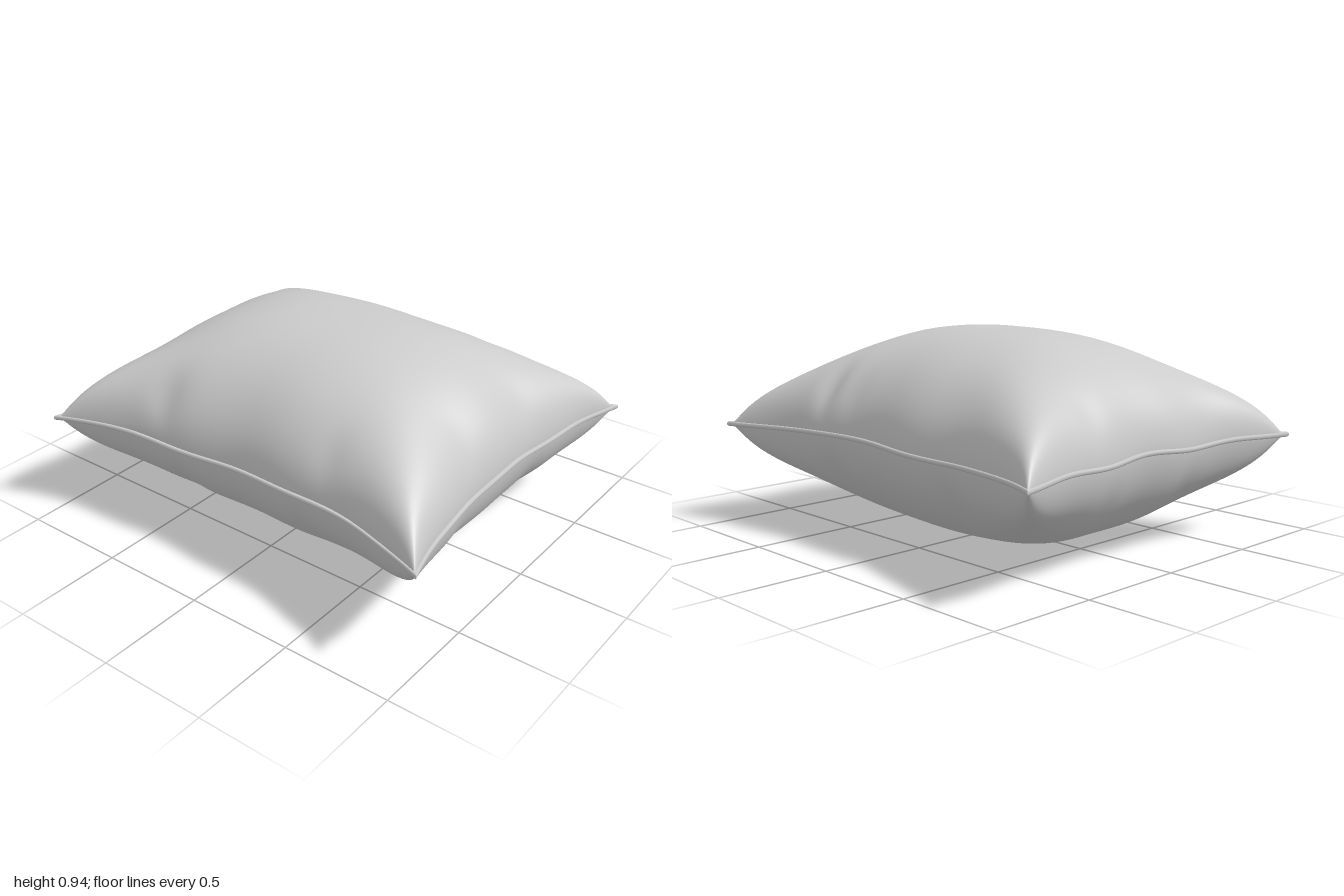
import * as THREE from 'three';

const MID = 0.47; // seam height, also the bulge of each panel
const RIM = 0.02; // small puffed edge beside the seam
const material = new THREE.MeshStandardMaterial({ color: 0xcccccc, side: THREE.DoubleSide });

// Soft creases running in from the seam: x, z, depth, spread in x, spread in z
const topCreases = [
  [-0.67, -0.48, 0.06, 0.1, 0.08], [0.67, 0.47, 0.06, 0.12, 0.06], [0.67, 0.3, 0.03, 0.1, 0.07],
  [-0.67, 0.42, 0.03, 0.1, 0.07], [-0.2, 0.88, 0.02, 0.06, 0.1], [0.25, 0.88, 0.02, 0.07, 0.1],
  [0.3, -0.88, 0.02, 0.07, 0.1],
];
const bottomCreases = [
  [0.67, 0.42, 0.05, 0.12, 0.07], [0.67, -0.36, 0.04, 0.12, 0.07], [-0.67, -0.4, 0.04, 0.12, 0.07],
  [-0.67, 0.3, 0.03, 0.1, 0.07], [0.3, 0.88, 0.04, 0.08, 0.1], [-0.28, 0.88, 0.02, 0.07, 0.1],
  [-0.3, -0.88, 0.03, 0.07, 0.1], [0.2, -0.88, 0.03, 0.07, 0.1],
];

// Maps the square u, v in [-1, 1] to the pinched outline with a wavy seam
function clothPoint(u, v, inset) {
  const a = Math.abs(u), b = Math.abs(v);
  const halfX = 0.685 + 0.15 * b ** 3 + 0.009 * Math.sin(10 * v + 1 + 2 * u) * (1 - v * v);
  const halfZ = 0.887 + 0.113 * a ** 2.2 + 0.006 * Math.sin(11 * u + 2 * v) * (1 - u * u);
  const edge = 1 - (1 - u ** 4) * (1 - v ** 4);
  const wave = 0.008 * Math.cos(9 * u) * (1 - u * u) + 0.012 * Math.sin(4 * v) * (1 - v * v);
  return new THREE.Vector3(u * (halfX - inset), MID + edge * wave, v * (halfZ - inset));
}

// Height of the stuffing from 0 at the seam to 1 in the middle, with filled-out corners
function fullness(a, b) {
  const bulge = Math.max(0, 1 - a ** 2.3) ** 0.6 * Math.max(0, 1 - b ** 2.8) ** 0.55;
  return bulge * (1 + 1.1 * (a * b) ** 4);
}

// One stuffed half of the cushion; side is 1 for top, -1 for bottom
function makePanel(name, side, creases) {
  const geometry = new THREE.PlaneGeometry(2, 2, 120, 120).rotateX(-side * Math.PI / 2);
  const pos = geometry.attributes.position;
  for (let i = 0; i < pos.count; i++) {
    // Rows crowd towards the seam, where the cloth curves most
    const u = Math.sin(pos.getX(i) * Math.PI / 2);
    const v = Math.sin(pos.getZ(i) * Math.PI / 2);
    const p = clothPoint(u, v, 0.016);
    const full = fullness(Math.abs(u), Math.abs(v));
    let dent = 0;
    for (const [x, z, depth, sx, sz] of creases) {
      dent += depth * Math.exp(-(((p.x - x) / sx) ** 2) - ((p.z - z) / sz) ** 2);
    }
    const rim = RIM * (1 - u ** 40) * (1 - v ** 40);
    const height = (MID - RIM) * full + rim - dent * Math.min(1, full * 1.6);
    pos.setXYZ(i, p.x, p.y + side * Math.max(0, height), p.z);
  }
  geometry.computeVertexNormals();
  const mesh = new THREE.Mesh(geometry, material);
  mesh.name = name;
  return mesh;
}

// Thin stitched lip that runs round the whole outline
function makeSeam() {
  const section = [[0.04, 0.008], [0.016, 0.008], [0.006, 0.011], [0, 0.005],
    [0, -0.005], [0.006, -0.011], [0.016, -0.008], [0.04, -0.008]];
  const perSide = 100, count = perSide * 4, rows = section.length;
  const positions = [], index = [];
  for (let i = 0; i < count; i++) {
    const t = -Math.cos((i % perSide) / perSide * Math.PI);
    const [u, v] = [[t, 1], [1, -t], [-t, -1], [-1, t]][Math.floor(i / perSide)];
    for (const [inset, y] of section) {
      const p = clothPoint(u, v, inset);
      positions.push(p.x, p.y + y, p.z);
    }
    const next = (i + 1) % count;
    for (let j = 0; j < rows - 1; j++) {
      const a = i * rows + j, b = next * rows + j;
      index.push(a, a + 1, b, b, a + 1, b + 1);
    }
  }
  const geometry = new THREE.BufferGeometry();
  geometry.setAttribute('position', new THREE.Float32BufferAttribute(positions, 3));
  geometry.setIndex(index);
  geometry.computeVertexNormals();
  const mesh = new THREE.Mesh(geometry, material);
  mesh.name = 'seam';
  return mesh;
}

export function createModel() {
  const cushion = new THREE.Group();
  cushion.name = 'cushion';
  cushion.add(
    makePanel('topPanel', 1, topCreases),
    makePanel('bottomPanel', -1, bottomCreases),
    makeSeam(),
  );
  return cushion;
}
